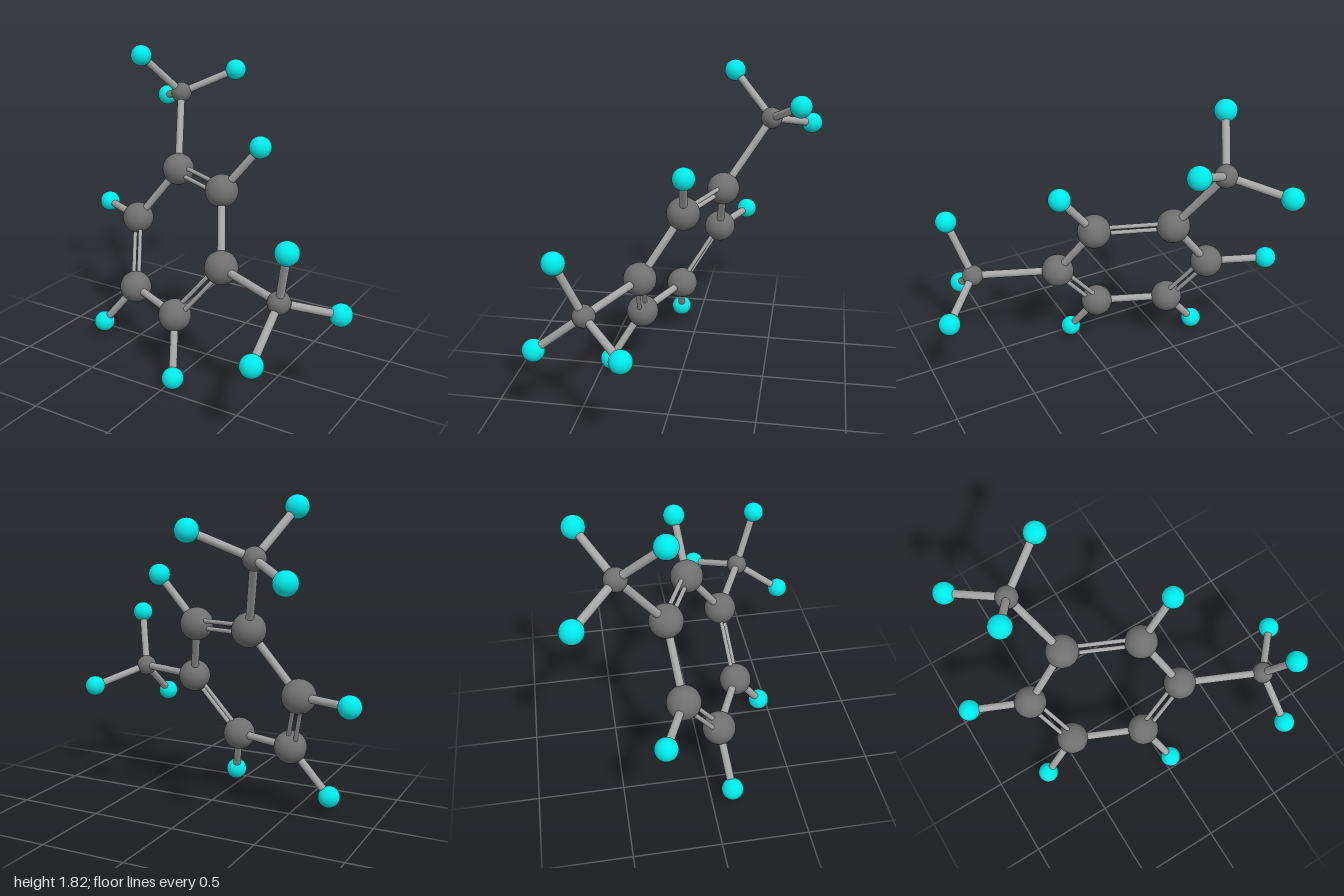
import * as THREE from 'three';

export function createModel() {
  const model = new THREE.Group();
  const darkGrey = new THREE.MeshStandardMaterial({ color: 0x707070 });
  const rodGrey = new THREE.MeshStandardMaterial({ color: 0xa6a6a6 });
  const cyan = new THREE.MeshStandardMaterial({ color: 0x00eaea });

  const V = (x, y, z) => new THREE.Vector3(x, y, z);
  const largeBall = new THREE.SphereGeometry(0.097, 40, 24);
  const smallBall = new THREE.SphereGeometry(0.064, 32, 20);

  function ball(name, geometry, material, position) {
    const mesh = new THREE.Mesh(geometry, material);
    mesh.name = name;
    mesh.position.copy(position);
    model.add(mesh);
  }

  // Round rod between two points
  function rod(name, a, b, radius = 0.023) {
    const dir = b.clone().sub(a);
    const mesh = new THREE.Mesh(new THREE.CylinderGeometry(radius, radius, dir.length(), 24), rodGrey);
    mesh.name = name;
    mesh.position.copy(a).lerp(b, 0.5);
    mesh.quaternion.setFromUnitVectors(V(0, 1, 0), dir.normalize());
    model.add(mesh);
  }

  // Six-sided ring of large balls
  const ring = [
    V(-0.325, 1.1, -0.2), V(0.09, 1.08, -0.02), V(0.225, 0.715, 0.21),
    V(-0.06, 0.367, 0.258), V(-0.47, 0.383, 0.077), V(-0.603, 0.747, -0.15),
  ];
  const normal = ring[2].clone().sub(ring[0]).cross(ring[4].clone().sub(ring[0])).normalize();

  // Ring rods alternate between a pair of thin rods and one thick rod
  ring.forEach((a, i) => {
    const b = ring[(i + 1) % 6];
    ball('ringCarbon', largeBall, darkGrey, a);
    if (i % 2) {
      rod('singleBond', a, b);
      return;
    }
    const offset = b.clone().sub(a).cross(normal).setLength(0.026);
    for (const s of [-1, 1]) {
      const shift = offset.clone().multiplyScalar(s);
      rod('doubleBond', a.clone().add(shift), b.clone().add(shift), 0.013);
    }
  });

  // Single cyan balls attached to the ring
  const ringTips = [
    [1, V(0.315, 1.361, -0.058)], [3, V(0.043, 0.07, 0.443)],
    [4, V(-0.697, 0.102, 0.118)], [5, V(-0.936, 0.757, -0.293)],
  ];
  for (const [i, tip] of ringTips) {
    rod('hydrogenBond', ring[i], tip);
    ball('hydrogen', smallBall, cyan, tip);
  }

  // Two side branches, each a small hub with three cyan tips
  const branches = [
    [0, V(-0.472, 1.511, -0.467),
      [V(-0.605, 1.766, -0.228), V(-0.183, 1.655, -0.647), V(-0.738, 1.424, -0.706)]],
    [2, V(0.694, 0.698, 0.416),
      [V(0.789, 1.035, 0.536), V(0.936, 0.584, 0.163), V(0.695, 0.468, 0.706)]],
  ];
  for (const [i, hub, tips] of branches) {
    rod('branchBond', ring[i], hub);
    ball('branchCarbon', smallBall, darkGrey, hub);
    for (const tip of tips) {
      rod('hydrogenBond', hub, tip);
      ball('hydrogen', smallBall, cyan, tip);
    }
  }
  return model;
}
